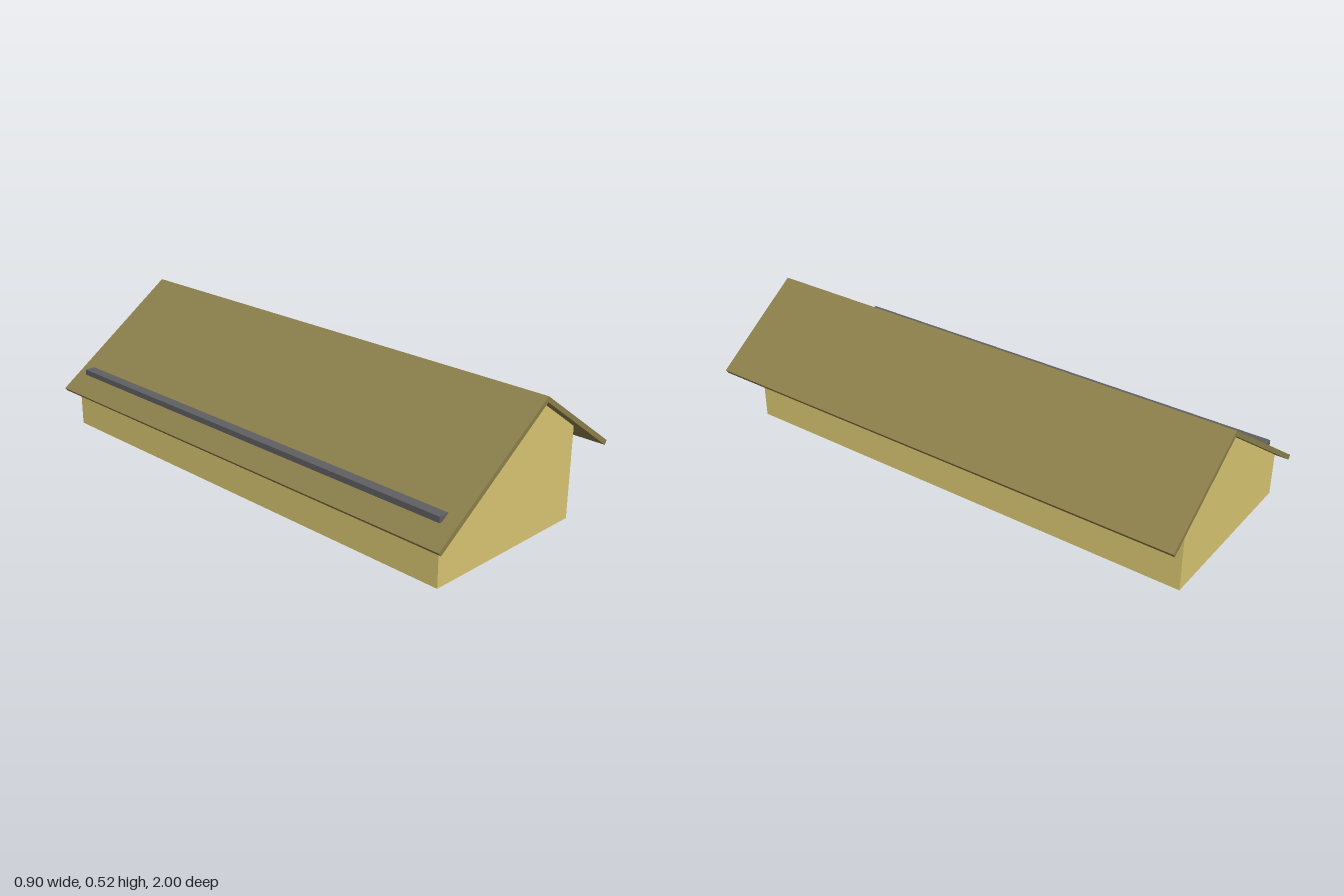
import * as THREE from 'three';

const RIDGE_X = 0.072, SLOPE = 0.7;
const LEFT = -0.4, RIGHT = 0.295, HALF = 0.96, WALL = 0.018;

// height of the roof's underside above a given x
const under = x => 0.502 - SLOPE * Math.abs(x - RIDGE_X);

export function createModel() {
  const group = new THREE.Group();
  const mat = color => new THREE.MeshStandardMaterial({ color, flatShading: true });
  const wallMat = mat(0xd9c672), roofMat = mat(0x8c804b), greyMat = mat(0x606063);

  const add = (name, geometry, material) => {
    const mesh = new THREE.Mesh(geometry, material);
    mesh.name = name;
    group.add(mesh);
    return mesh;
  };
  // extrudes an x/y outline from z0 to z1
  const prism = (name, points, z0, z1, material) => {
    const shape = new THREE.Shape(points.map(([x, y]) => new THREE.Vector2(x, y)));
    const geometry = new THREE.ExtrudeGeometry(shape, { depth: z1 - z0, bevelEnabled: false });
    return add(name, geometry.translate(0, 0, z0), material);
  };

  // gable walls at both ends
  const gable = [[LEFT, 0], [RIGHT, 0], [RIGHT, under(RIGHT)], [RIDGE_X, under(RIDGE_X)], [LEFT, under(LEFT)]];
  prism('frontGable', gable, HALF - WALL, HALF, wallMat);
  prism('backGable', gable, -HALF, WALL - HALF, wallMat);

  // long side walls, tops cut to the roof slope
  for (const [name, a, b] of [['rightWall', LEFT, LEFT + WALL], ['leftWall', RIGHT - WALL, RIGHT]]) {
    prism(name, [[a, 0], [b, 0], [b, under(b)], [a, under(a)]], WALL - HALF, HALF - WALL, wallMat);
  }

  // floor set between the walls
  const floor = add('floor', new THREE.BoxGeometry(RIGHT - LEFT - 2 * WALL, 0.02, 2 * (HALF - WALL)), greyMat);
  floor.position.set((LEFT + RIGHT) / 2, 0.011, 0);

  // overhanging roof with uneven slopes
  prism('roof', [
    [-0.45, 0.157], [-0.438, 0.143], [RIDGE_X, 0.502], [0.438, 0.246], [0.448, 0.261], [RIDGE_X, 0.523],
  ], -1, 1, roofMat);

  // long rail on the wide slope
  const rail = add('roofRail', new THREE.BoxGeometry(0.042, 0.022, 1.886), greyMat);
  rail.position.set(-0.36, 0.224, 0);

  return group;
}
